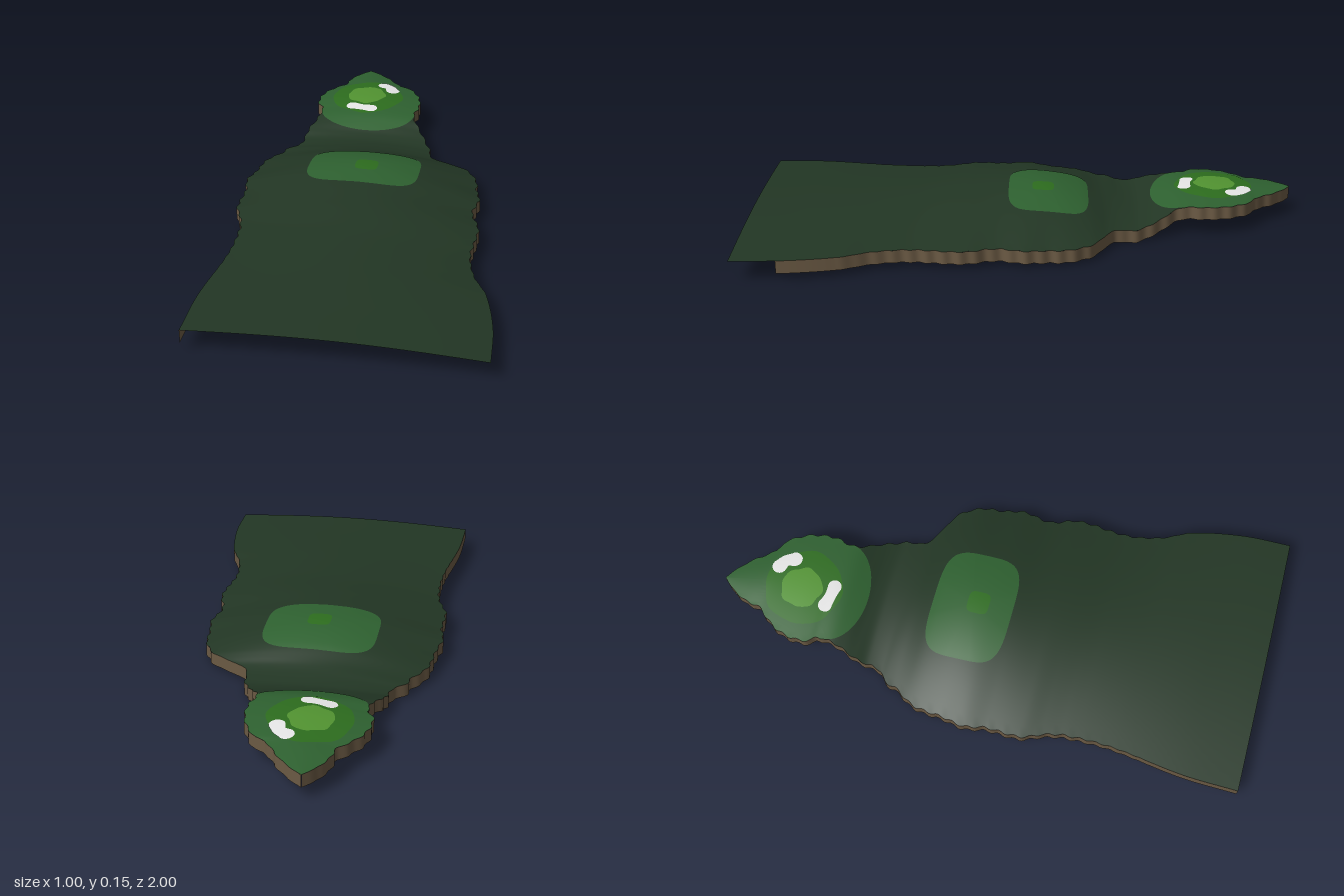
import * as THREE from 'three';

// Outline of the ground: [z, x] down each side, back tip to front edge
const LEFT = [[-1, -.19], [-.96, -.225], [-.9, -.257], [-.84, -.27], [-.8, -.304], [-.75, -.336], [-.69, -.352],
  [-.63, -.347], [-.6, -.325], [-.53, -.33], [-.45, -.357], [-.35, -.373], [-.32, -.41], [-.28, -.42], [-.22, -.458],
  [-.18, -.474], [-.08, -.485], [0, -.5], [.08, -.485], [.21, -.485], [.28, -.458], [.35, -.44], [.53, -.437],
  [.8, -.47], [1, -.475]];
const RIGHT = [[-1, -.188], [-.965, -.14], [-.91, -.087], [-.85, -.04], [-.83, 0], [-.75, .05], [-.66, .066],
  [-.57, .055], [-.47, .108], [-.39, .145], [-.34, .15], [-.3, .188], [-.267, .257], [-.235, .304], [-.16, .347],
  [-.08, .357], [0, .373], [.1, .357], [.21, .389], [.4, .378], [.53, .405], [.63, .452], [.82, .49], [1, .498]];
// Heights: [z, left edge, right edge, crown]
const HEIGHT = [[-1, .1, .1, 0], [-.85, .105, .107, .01], [-.7, .107, .11, .015], [-.6, .105, .108, .012],
  [-.55, .102, .1, .01], [-.5, .09, .078, .01], [-.45, .075, .06, .008], [-.4, .06, .05, .012], [-.3, .058, .058, .027],
  [-.2, .063, .06, .06], [-.1, .07, .06, .078], [0, .08, .065, .073], [.2, .082, .068, .055], [.4, .085, .07, .035],
  [.8, .09, .075, .02], [1, .09, .075, .018]];
const SKIRT = 0.047;

// Smooth cubic through column k of a table sorted by z
function sample(table, z, k = 1) {
  let i = 0;
  while (i < table.length - 2 && z > table[i + 1][0]) i++;
  const slope = (j) => {
    const a = table[Math.max(0, j - 1)], b = table[Math.min(table.length - 1, j + 1)];
    return (b[k] - a[k]) / (b[0] - a[0]);
  };
  const a = table[i], b = table[i + 1], h = b[0] - a[0];
  const t = THREE.MathUtils.clamp((z - a[0]) / h, 0, 1), t2 = t * t, t3 = t2 * t;
  return a[k] * (2 * t3 - 3 * t2 + 1) + b[k] * (3 * t2 - 2 * t3)
    + h * (slope(i) * (t3 - 2 * t2 + t) + slope(i + 1) * (t3 - t2));
}

// Small scallops on the edge, fading towards the front and the tip
const ripple = (z) => 0.004 * Math.sin(z * 110) * THREE.MathUtils.clamp((0.7 - z) * 3, 0, 1)
  * THREE.MathUtils.clamp((z + 1) * 8, 0, 1);
const leftX = (z) => sample(LEFT, z) + ripple(z);
const rightX = (z) => sample(RIGHT, z) + ripple(z + 0.02);

function heightAt(x, z) {
  const l = sample(LEFT, z), r = sample(RIGHT, z);
  const u = THREE.MathUtils.clamp((x - l) / (r - l), 0, 1);
  return THREE.MathUtils.lerp(sample(HEIGHT, z, 1), sample(HEIGHT, z, 2), u)
    + sample(HEIGHT, z, 3) * Math.sin(Math.PI * u);
}

// Grid surface from a point function of row and column
function gridSurface(rows, cols, point) {
  const pos = [], index = [];
  for (let i = 0; i <= rows; i++) {
    for (let j = 0; j <= cols; j++) {
      pos.push(...point(i / rows, j / cols));
      if (i < rows && j < cols) {
        const a = i * (cols + 1) + j, b = a + cols + 1;
        index.push(a, b, a + 1, a + 1, b, b + 1);
      }
    }
  }
  const g = new THREE.BufferGeometry();
  g.setAttribute('position', new THREE.Float32BufferAttribute(pos, 3));
  g.setIndex(index);
  g.computeVertexNormals();
  return g;
}

// Closed smooth outline through a few [x, z] points
function smoothOutline(points, n = 64) {
  const curve = new THREE.CatmullRomCurve3(points.map(([x, z]) => new THREE.Vector3(x, 0, z)), true);
  return curve.getPoints(n).slice(0, n).map((p) => [p.x, p.z]);
}

// Rounded rectangle outline
function roundedOutline(cx, cz, rx, rz, n = 64) {
  const soft = (v) => Math.sign(v) * Math.sqrt(Math.abs(v));
  return Array.from({ length: n }, (_, i) => {
    const a = (i / n) * Math.PI * 2;
    return [cx + rx * soft(Math.cos(a)), cz + rz * soft(Math.sin(a))];
  });
}

// Uneven round outline
function blobOutline(cx, cz, r, wobble, n = 64) {
  return Array.from({ length: n }, (_, i) => {
    const a = (i / n) * Math.PI * 2;
    const d = r * (1 + wobble * Math.sin(a * 5 + 1) + wobble * 0.6 * Math.cos(a * 8));
    return [cx + d * Math.cos(a), cz + d * Math.sin(a)];
  });
}

// Bent capsule outline around a path of [x, z] points
function capsuleOutline(path, r) {
  const curve = new THREE.CatmullRomCurve3(path.map(([x, z]) => new THREE.Vector3(x, 0, z)));
  const out = [];
  const around = (t, angle) => {
    const p = curve.getPoint(t), d = curve.getTangent(t);
    const a = Math.atan2(d.z, d.x) + angle;
    const w = r * (1 - 0.18 * Math.sin(Math.PI * t));
    out.push([p.x + w * Math.cos(a), p.z + w * Math.sin(a)]);
  };
  for (let i = 0; i <= 8; i++) around(i / 8, Math.PI / 2);
  for (let i = 1; i < 8; i++) around(1, Math.PI / 2 - (i / 8) * Math.PI);
  for (let i = 8; i >= 0; i--) around(i / 8, -Math.PI / 2);
  for (let i = 1; i < 8; i++) around(0, -Math.PI / 2 - (i / 8) * Math.PI);
  return out;
}

export function createModel() {
  const model = new THREE.Group();
  model.name = 'golfHole';
  const material = (name, color) => {
    const m = new THREE.MeshStandardMaterial({ color, side: THREE.DoubleSide });
    m.name = name;
    return m;
  };
  const rough = material('darkGrass', 0x223624);
  const mown = material('mownGrass', 0x2e6130);
  const fine = material('fineGrass', 0x2d6d1e);
  const bright = material('brightGrass', 0x529431);
  const sand = material('whiteSand', 0xffffff);
  const earth = material('earth', 0x6b5a44);

  const add = (name, geometry, mat, parent = model) => {
    const mesh = new THREE.Mesh(geometry, mat);
    mesh.name = name;
    parent.add(mesh);
    return mesh;
  };

  // Ground sheet
  add('fairway', gridSurface(260, 40, (v, u) => {
    const z = -1 + 2 * v;
    const x = THREE.MathUtils.lerp(leftX(z), rightX(z), u);
    return [x, heightAt(x, z), z];
  }), rough);

  // Earth skirts hanging from both sides; the front stays open
  const skirt = (name, edge, zEnd, down) => add(name, gridSurface(260, 1, (v, u) => {
    const z = -1 + (zEnd + 1) * v, x = edge(z);
    return [x, heightAt(x, z) - SKIRT * (down ? u : 1 - u), z];
  }), earth);
  skirt('rightSkirt', leftX, 1, false);
  skirt('leftSkirt', rightX, 0.84, true);

  // Patches draped just over the ground, repeated just under it
  const patch = (name, outline, [cx, cz], layer, mat) => {
    const n = outline.length, group = new THREE.Group();
    group.name = name;
    const ccw = outline.reduce((s, [x, z], i) => {
      const [x2, z2] = outline[(i + 1) % n];
      return s + x * z2 - x2 * z;
    }, 0) < 0;
    const loop = ccw ? outline : [...outline].reverse();
    for (const side of [1, -1]) {
      add(side > 0 ? 'upperFace' : 'lowerFace', gridSurface(16, n, (s, t) => {
        const [ox, oz] = loop[Math.round(t * n) % n];
        const x = cx + (ox - cx) * s, z = cz + (oz - cz) * s;
        return [x, heightAt(x, z) + side * layer * 0.0013, z];
      }), mat, group);
    }
    model.add(group);
  };

  // Putting green: follows the ground's edge, closed by an arc at the front
  const green = [];
  for (let i = 0; i <= 50; i++) green.push([leftX(-0.58 - 0.0084 * i), -0.58 - 0.0084 * i]);
  for (let i = 50; i >= 0; i--) green.push([rightX(-0.58 - 0.0084 * i), -0.58 - 0.0084 * i]);
  for (let i = 1; i < 24; i++) {
    const a = (i / 24) * Math.PI;
    green.push([-0.135 + 0.19 * Math.cos(a), -0.58 + 0.112 * Math.sin(a)]);
  }
  patch('greenSurround', green, [-0.14, -0.7], 1, mown);
  patch('puttingGreen', blobOutline(-0.155, -0.705, 0.143, 0.02), [-0.155, -0.705], 2, fine);
  patch('greenCentre', blobOutline(-0.16, -0.71, 0.076, 0.04), [-0.16, -0.71], 3, bright);

  // Bunkers
  patch('backBunker', capsuleOutline([[-0.1, -0.815], [-0.075, -0.8], [-0.06, -0.768]], 0.028), [-0.078, -0.797], 3, sand);
  patch('frontBunker', capsuleOutline([[-0.203, -0.608], [-0.165, -0.599], [-0.125, -0.594]], 0.025), [-0.165, -0.6], 3, sand);

  // Raised landing area with its marker square
  patch('landingArea', roundedOutline(-0.067, -0.083, 0.208, 0.148), [-0.067, -0.083], 1, mown);
  patch('landingMark', roundedOutline(-0.055, -0.063, 0.042, 0.04), [-0.055, -0.063], 2, fine);

  return model;
}
